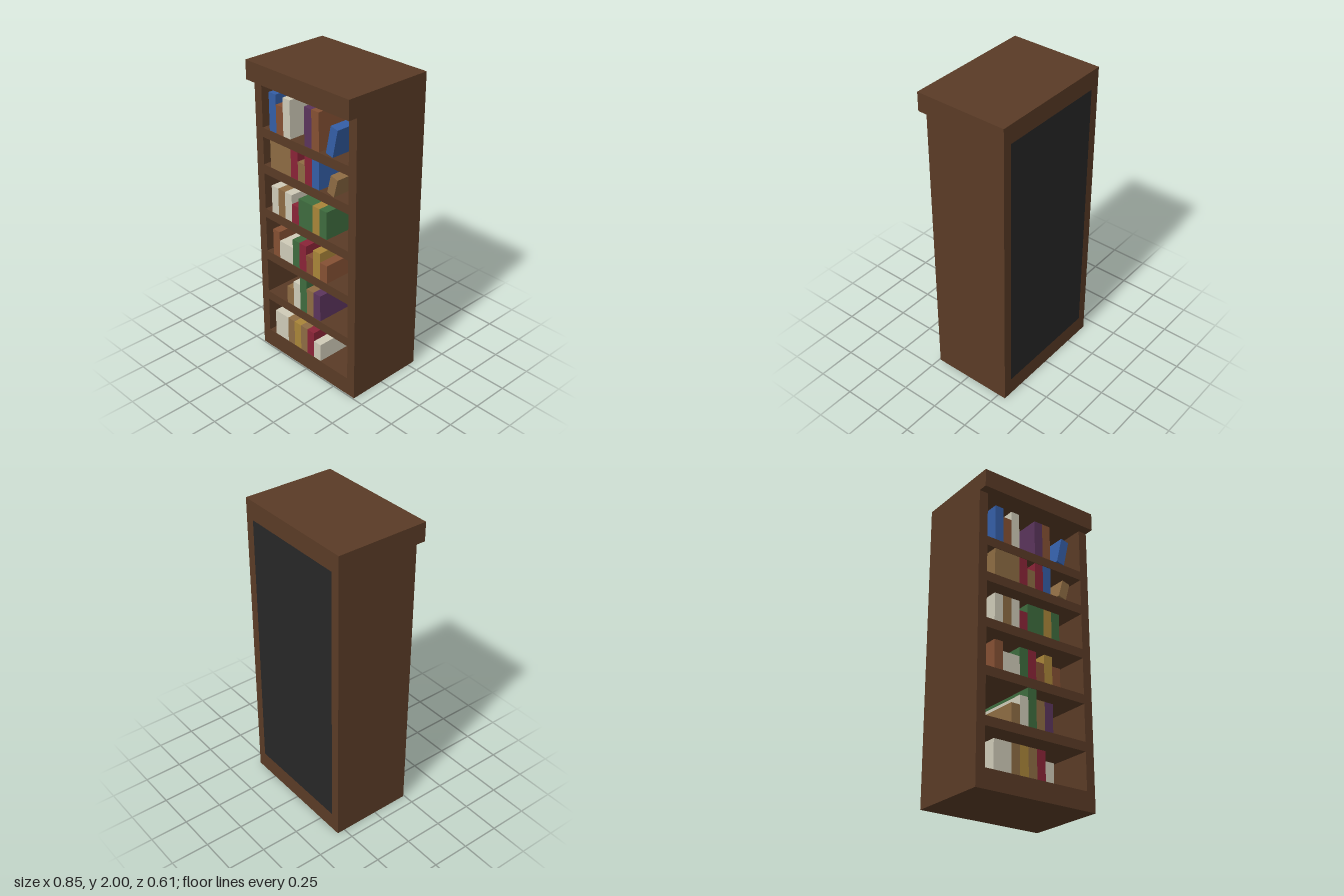
import * as THREE from 'three';

// Everything sits on a grid: 14 wide, 33 high, 10 deep
const U = 2 / 33;

const material = (name, color) => {
  const m = new THREE.MeshStandardMaterial({ color });
  m.name = name;
  return m;
};

export function createModel() {
  const wood = material('dark wood', 0x5a3b26);
  const panel = material('charcoal panel', 0x272727);
  const covers = {
    W: material('cream cover', 0xcfcbb8),
    T: material('tan cover', 0x8e6c43),
    B: material('brown cover', 0x855033),
    R: material('red cover', 0x8a2437),
    G: material('green cover', 0x3e6c3e),
    Y: material('gold cover', 0xa98539),
    P: material('purple cover', 0x5b345c),
    L: material('blue cover', 0x345ea6),
  };

  const model = new THREE.Group();
  model.name = 'bookcase';

  // Box given by its grid limits
  const box = (parent, name, mat, [x0, x1], [y0, y1], [z0, z1]) => {
    const g = new THREE.BoxGeometry((x1 - x0) * U, (y1 - y0) * U, (z1 - z0) * U);
    const mesh = new THREE.Mesh(g, mat);
    mesh.position.set((x0 + x1) / 2 * U, (y0 + y1) / 2 * U, (z0 + z1) / 2 * U);
    mesh.name = name;
    parent.add(mesh);
    return mesh;
  };

  // Case
  box(model, 'leftSide', wood, [6, 7], [0, 31], [-5, 4]);
  box(model, 'rightSide', wood, [-7, -6], [0, 31], [-5, 4]);
  box(model, 'base', wood, [-6, 6], [0, 2], [-5, 4]);
  box(model, 'crown', wood, [-7, 7], [31, 33], [-5, 5]);
  box(model, 'backPanel', panel, [-6, 6], [2, 31], [-5, -4]);
  for (const y of [6, 11, 16, 21, 25]) {
    box(model, 'shelf', wood, [-6, 6], [y, y + 1], [-4, 4]);
  }

  // Upright books: shelf height, then cover and height for each slot from the right
  const rows = [
    [2, 'W3 W3 T3 Y3 T3 R3 W2'],
    [7, '- - T2 W3 G4 T3 P3'],
    [12, 'B3 W2 W2 G3 R3 B2 Y3 B2'],
    [17, 'W3 T3 W3 R2 G3 G3 Y3 G3'],
    [22, 'T3 T3 T3 R3 T2 R3 L3'],
    [26, 'L4 B3 W4 - - P4 B4'],
  ];
  const bookDepth = [-4, 3.95];
  rows.forEach(([y, list], i) => {
    const row = new THREE.Group();
    row.name = 'bookRow' + (i + 1);
    list.split(' ').forEach((code, slot) => {
      if (code === '-') return;
      const x = slot - 5;
      box(row, 'book', covers[code[0]], [x, x + 1], [y, y + Number(code[1])], bookDepth);
    });
    model.add(row);
  });

  // Leaning books
  for (const [cover, x, y, height, tilt] of [['T', 3.8, 23.1, 2, 0.26], ['L', 3.72, 27.62, 3, 0.22]]) {
    const book = box(model, 'leaningBook', covers[cover],
      [x - 0.47, x + 0.47], [y - height / 2, y + height / 2], bookDepth);
    book.rotation.z = -tilt;
  }

  return model;
}
